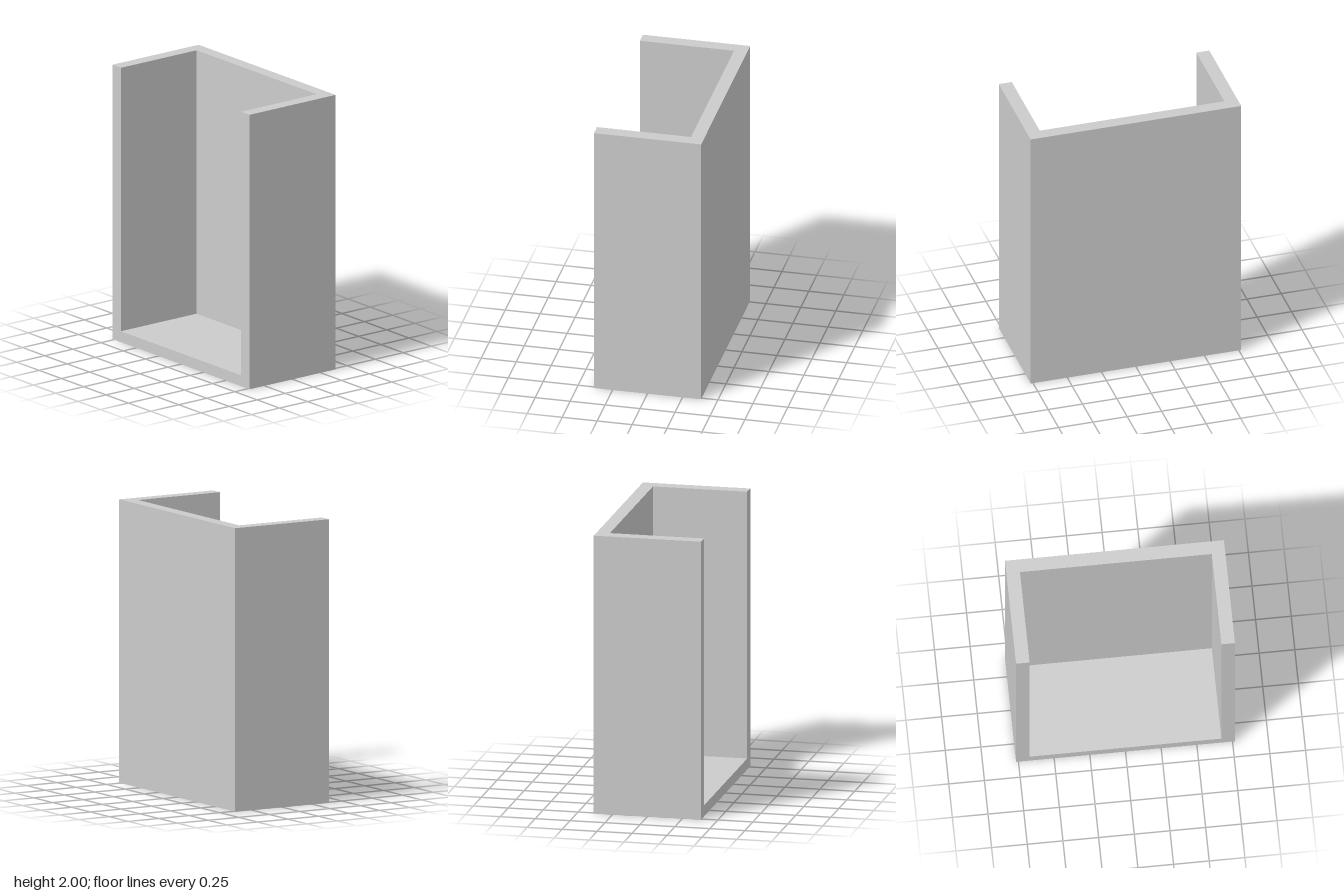
import * as THREE from 'three';

const W = 0.767, D = 0.384, H = 2;            // outer half width, half depth, height
const IW = 0.672, IZ = -0.29, FLOOR = 0.08;   // inner half width, inner back, floor height
const LOW = 0.06;                             // inner walls end just under the floor

const material = new THREE.MeshStandardMaterial({ color: 0xcccccc, side: THREE.DoubleSide });

export function createModel() {
  const group = new THREE.Group();

  const add = (name, geometry) => {
    const mesh = new THREE.Mesh(geometry, material);
    mesh.name = name;
    group.add(mesh);
    return mesh;
  };

  // Upright thin sheet, turned about y to face its way
  const wall = (name, width, bottom, x, z, turn) => {
    const mesh = add(name, new THREE.PlaneGeometry(width, H - bottom));
    mesh.position.set(x, (H + bottom) / 2, z);
    mesh.rotation.y = turn;
  };

  // U-shaped sheet: outer rectangle with a notch cut in from one long edge
  const uSheet = (outer, inner) => new THREE.ShapeGeometry(new THREE.Shape([
    [-W, outer[0]], [W, outer[0]], [W, outer[1]], [IW, outer[1]],
    [IW, inner], [-IW, inner], [-IW, outer[1]], [-W, outer[1]],
  ].map(([x, y]) => new THREE.Vector2(x, y))));

  // Outer shell, open underneath
  wall('outerBack', 2 * W, 0, 0, -D, Math.PI);
  for (const [side, s] of [['left', 1], ['right', -1]]) {
    wall(side + 'OuterSide', 2 * D, 0, s * W, 0, s * Math.PI / 2);
    wall(side + 'InnerSide', D - IZ, LOW, s * IW, (D + IZ) / 2, -s * Math.PI / 2);
  }
  wall('innerBack', 2 * IW, LOW, 0, IZ, 0);

  // Front frame: two posts and the low sill
  add('frontFrame', uSheet([0, H], FLOOR)).position.z = D;

  // Top rim, notch open to the front
  const rim = uSheet([D, -D], -IZ);
  rim.rotateX(-Math.PI / 2);
  add('topRim', rim).position.y = H;

  // Raised floor sheet between the inner walls
  const floor = new THREE.PlaneGeometry(2 * IW, D - IZ);
  floor.rotateX(-Math.PI / 2);
  add('floor', floor).position.set(0, FLOOR, (D + IZ) / 2);

  return group;
}
